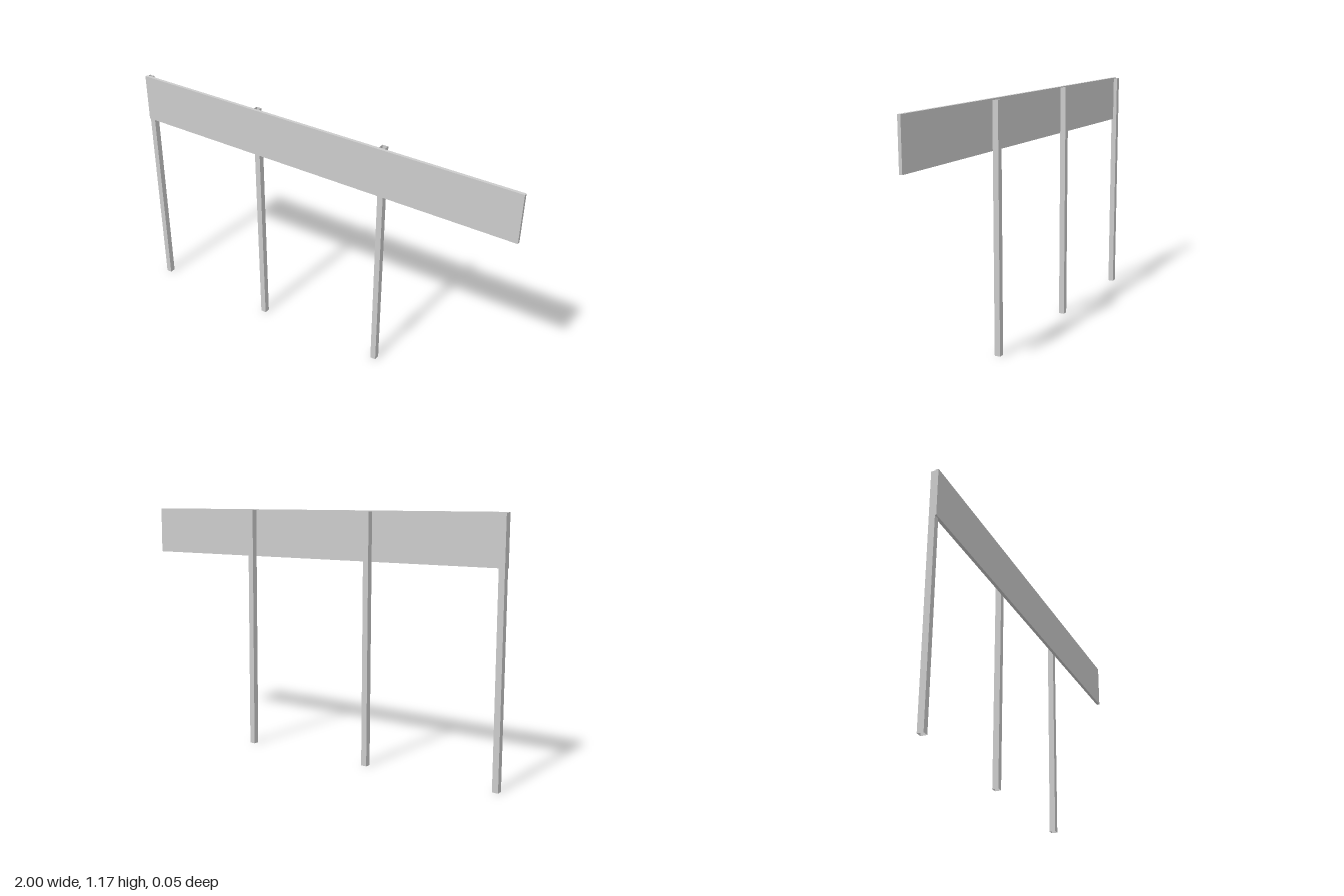
import * as THREE from 'three';

export function createModel() {
  const group = new THREE.Group();
  const solid = new THREE.MeshStandardMaterial({ color: 0xcccccc, flatShading: true });
  const thin = new THREE.MeshStandardMaterial({ color: 0xcccccc, flatShading: true, side: THREE.DoubleSide });

  // Long sign board across the front of the posts
  const board = new THREE.Mesh(new THREE.BoxGeometry(2, 0.228, 0.015), solid);
  board.name = 'board';
  board.position.set(0, 1.054, 0.0195);
  group.add(board);

  // Square hollow posts, open at both ends, each set slightly further back
  const width = 0.028;
  const height = 1.164;
  const radius = width / Math.SQRT2;
  const tube = new THREE.CylinderGeometry(radius, radius, height, 4, 1, true);
  tube.rotateY(Math.PI / 4);
  const posts = [
    ['rightPost', -0.986, 0.007],
    ['middlePost', -0.329, -0.002],
    ['leftPost', 0.341, -0.011],
  ];
  for (const [name, x, z] of posts) {
    const post = new THREE.Mesh(tube, thin);
    post.name = name;
    post.position.set(x, height / 2, z);
    group.add(post);
  }
  return group;
}
